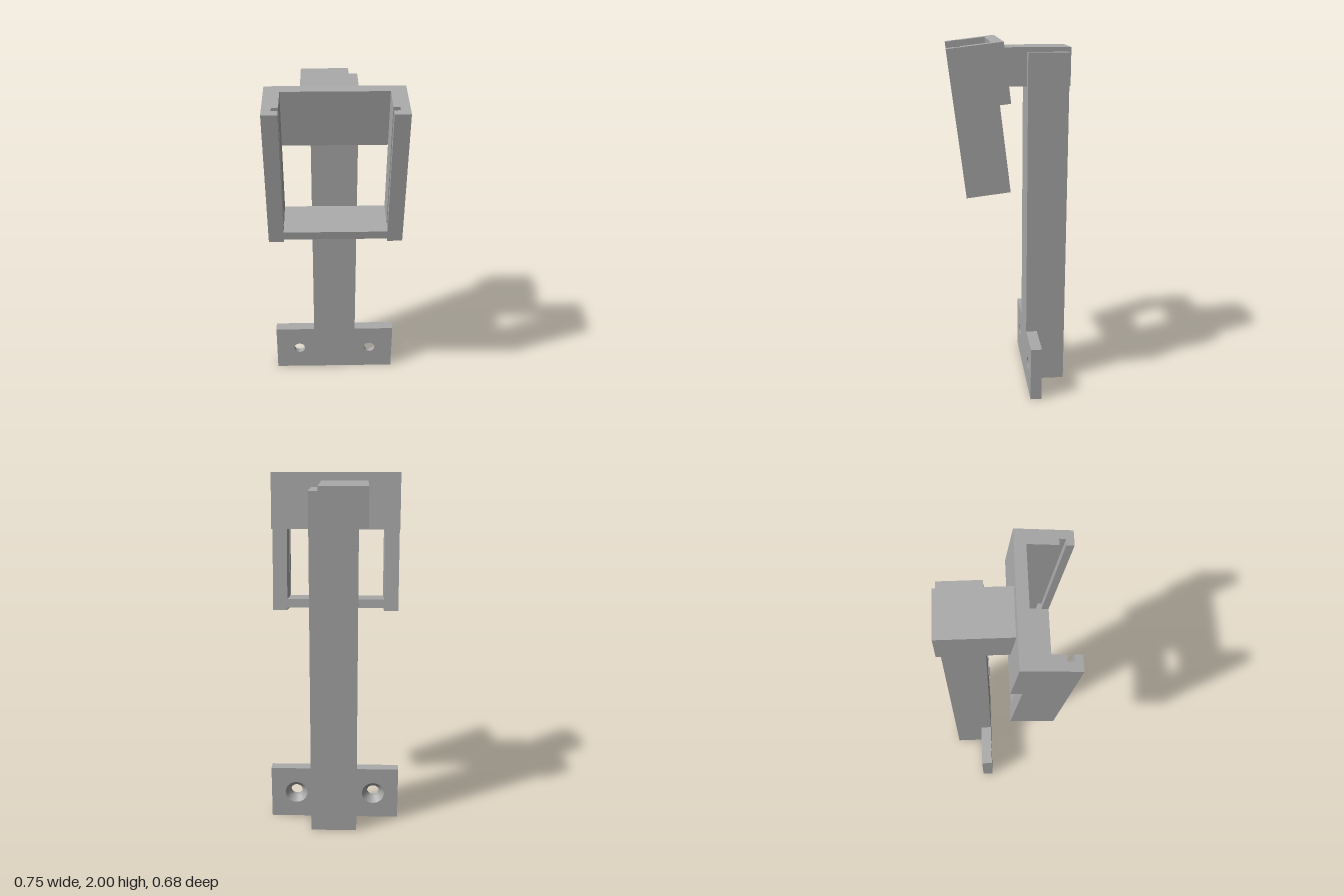
import * as THREE from 'three';

const grey = new THREE.MeshStandardMaterial({ color: 0xaaaaaa });
grey.name = 'plain grey';

function add(parent, name, geometry) {
  const mesh = new THREE.Mesh(geometry, grey);
  mesh.name = name;
  parent.add(mesh);
  return mesh;
}

// box given by its extents on each axis
function box(parent, name, [x0, x1], [y0, y1], [z0, z1]) {
  const mesh = add(parent, name, new THREE.BoxGeometry(x1 - x0, y1 - y0, z1 - z0));
  mesh.position.set((x0 + x1) / 2, (y0 + y1) / 2, (z0 + z1) / 2);
  return mesh;
}

// one layer of the foot plate with two round holes
function plateLayer(radius, z0, z1) {
  const w = 0.373, h = 0.31;
  const shape = new THREE.Shape([[-w, 0], [w, 0], [w, h], [-w, h]].map(p => new THREE.Vector2(...p)));
  for (const s of [-1, 1]) {
    shape.holes.push(new THREE.Path().absarc(s * 0.227, 0.155, radius, 0, Math.PI * 2, true));
  }
  return new THREE.ExtrudeGeometry(shape, { depth: z1 - z0, bevelEnabled: false, curveSegments: 16 }).translate(0, 0, z0);
}

export function createModel() {
  const model = new THREE.Group();
  model.name = 'wallBracket';

  // upright post and the arm that carries the frame
  box(model, 'post', [-0.13, 0.13], [0, 1.93], [-0.325, -0.1]);
  box(model, 'arm', [-0.18, 0.08], [1.745, 1.955], [-0.34, 0.043]);

  // foot plate with screw holes countersunk from the back
  const foot = new THREE.Group();
  foot.name = 'footPlate';
  model.add(foot);
  add(foot, 'footPlateFront', plateLayer(0.035, -0.131, -0.1));
  add(foot, 'footPlateBack', plateLayer(0.065, -0.163, -0.131));
  for (const s of [-1, 1]) {
    const cone = new THREE.LatheGeometry([new THREE.Vector2(0.035, -0.131), new THREE.Vector2(0.065, -0.163)], 32);
    add(foot, 'countersink', cone.rotateX(Math.PI / 2)).position.set(s * 0.227, 0.155, 0);
  }

  // tilted holder frame, its origin on the top front edge
  const frame = new THREE.Group();
  frame.name = 'holderFrame';
  frame.position.set(0, 1.965, 0.34);
  frame.rotation.x = 0.121;
  model.add(frame);
  box(frame, 'backPanel', [-0.36, 0.36], [-0.312, 0], [-0.292, -0.232]);
  box(frame, 'bottomBar', [-0.278, 0.278], [-0.758, -0.71], [-0.234, 0]);

  // side walls with a slot along the inner face
  const inner = 0.278, slot = 0.312, outer = 0.36;
  const profile = [[outer, 0], [outer, -0.234], [inner, -0.234], [inner, -0.073],
    [slot, -0.073], [slot, -0.04], [inner, -0.04], [inner, 0]];
  for (const s of [-1, 1]) {
    const shape = new THREE.Shape(profile.map(([x, z]) => new THREE.Vector2(s * x, z)));
    const wall = new THREE.ExtrudeGeometry(shape, { depth: 0.71, bevelEnabled: false });
    const side = s > 0 ? 'left' : 'right';
    add(frame, side + 'Wall', wall.rotateX(Math.PI / 2));
    box(frame, side + 'WallFoot', s > 0 ? [inner, outer] : [-outer, -inner], [-0.774, -0.71], [-0.234, 0]);
  }
  return model;
}
